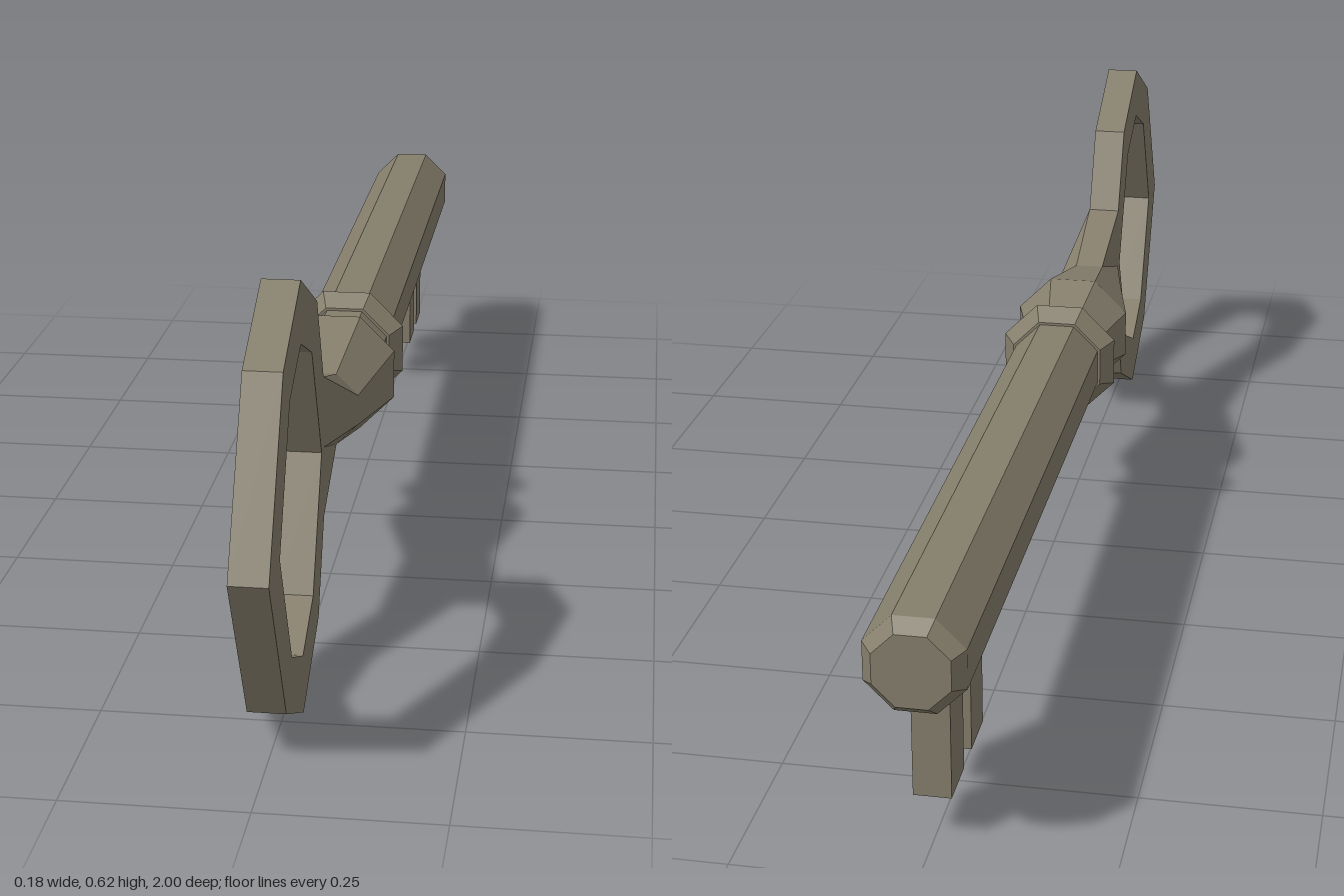
import * as THREE from 'three';

const AXIS_Y = 0.309;   // height of the shaft axis
const HALF = 0.026;     // half thickness of the flat parts

// Octagonal cross-section with flat sides facing the axes, a = centre to flat
function octagon(z, a) {
  const s = a * Math.tan(Math.PI / 8);
  return { z, pts: [[a, -s], [a, s], [s, a], [-s, a], [-a, s], [-a, -s], [-s, -a], [s, -a]] };
}

// Joins eight-point cross-sections, ordered by rising z
function loft(sections) {
  const pos = [];
  const at = (s, j) => [s.pts[j % 8][0], s.pts[j % 8][1] + AXIS_Y, s.z];
  for (let i = 0; i < sections.length - 1; i++) {
    const p = sections[i], q = sections[i + 1];
    for (let j = 0; j < 8; j++) {
      const a = at(p, j), b = at(p, j + 1), c = at(q, j + 1), d = at(q, j);
      pos.push(...a, ...b, ...c, ...a, ...c, ...d);
    }
  }
  const geo = new THREE.BufferGeometry();
  geo.setAttribute('position', new THREE.Float32BufferAttribute(pos, 3));
  geo.computeVertexNormals();
  return geo;
}

// Flat plate drawn as [z, y] points, centred on x = 0
function plate(outline, hole) {
  const toVec = (list) => list.map(([z, y]) => new THREE.Vector2(z, y));
  const shape = new THREE.Shape(toVec(outline));
  if (hole) shape.holes.push(new THREE.Path(toVec(hole)));
  const geo = new THREE.ExtrudeGeometry(shape, { depth: 2 * HALF, bevelEnabled: false });
  geo.translate(0, 0, -HALF);
  geo.rotateY(-Math.PI / 2);
  return geo;
}

// Closes an upper outline with its mirror image below the axis
function mirrored(upper) {
  const lower = upper.filter(([, h]) => h > 0).reverse().map(([z, h]) => [z, -h]);
  return [...upper, ...lower].map(([z, h]) => [z, h + AXIS_Y]);
}

export function createModel() {
  const model = new THREE.Group();
  model.name = 'key';
  const metal = new THREE.MeshStandardMaterial({ color: 0x857e6c, flatShading: true });
  metal.name = 'agedMetal';
  const add = (name, geometry) => {
    const mesh = new THREE.Mesh(geometry, metal);
    mesh.name = name;
    model.add(mesh);
  };
  const turned = (profile) => profile.map(([z, a]) => octagon(z, a));

  // Shaft with a closed, chamfered tip
  add('shaft', loft(turned([[-1, 0], [-1, 0.051], [-0.98, 0.067], [0.04, 0.067]])));

  // Raised collar
  add('collar', loft(turned([[0.025, 0.06], [0.025, 0.071], [0.053, 0.09], [0.08, 0.071], [0.08, 0.06]])));

  // Swelling neck that flattens into the bow
  const end = {
    z: 0.51,
    pts: [[HALF, 0], [HALF, 0], [HALF, 0.105], [-HALF, 0.105],
      [-HALF, 0], [-HALF, 0], [-HALF, -0.105], [HALF, -0.105]],
  };
  add('neck', loft([...turned([[0.06, 0.067], [0.11, 0.067], [0.18, 0.09], [0.35, 0.055]]), end]));

  // Faceted ring handle
  add('bow', plate(
    mirrored([[1, 0], [0.872, 0.234], [0.72, 0.308], [0.57, 0.234], [0.51, 0.105]]),
    mirrored([[0.913, 0], [0.82, 0.178], [0.722, 0.222], [0.623, 0.178], [0.532, 0]]),
  ));

  // Notched bit under the shaft
  add('bit', plate([
    [-0.902, 0.07], [-0.826, 0.07], [-0.826, 0.206], [-0.778, 0.206],
    [-0.778, 0.07], [-0.703, 0.07], [-0.703, 0.26], [-0.902, 0.26],
  ]));

  return model;
}
